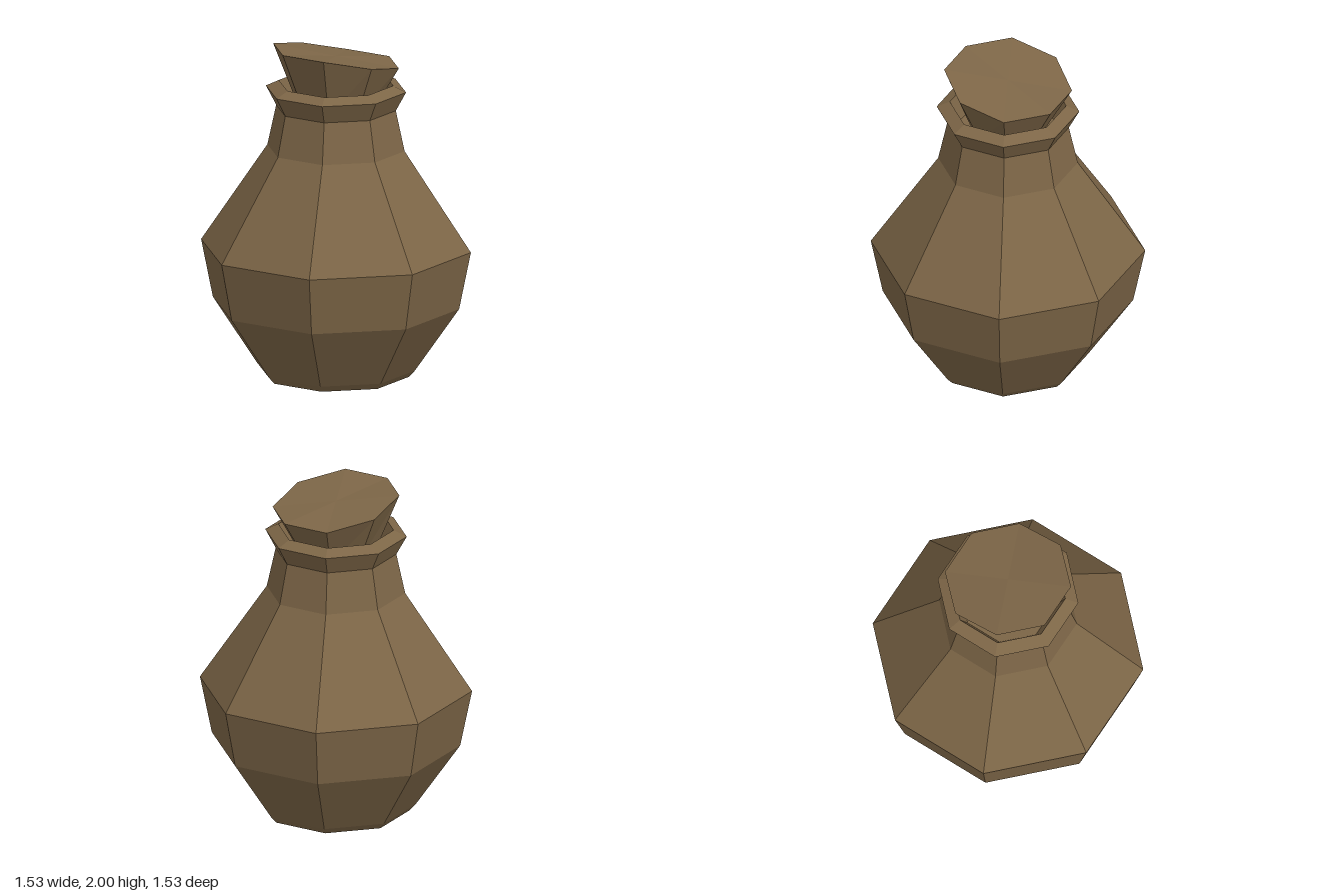
import * as THREE from 'three';

const SIDES = 8;
const TWIST = THREE.MathUtils.degToRad(25); // turns the octagon so its corners sit slightly askew

export function createModel() {
  const model = new THREE.Group();
  model.name = 'stopperedJar';
  const brown = new THREE.MeshStandardMaterial({ color: 0x7d6647, flatShading: true });
  brown.name = 'earthy brown';

  // Jar: closed base, belly, neck, flared lip, then down into the mouth
  const profile = [
    [0, 0], [0.44, 0], [0.476, 0.04], [0.743, 0.43], [0.814, 0.78],
    [0.414, 1.38], [0.361, 1.625], [0.423, 1.74], [0.345, 1.777],
    [0.29, 1.64], [0, 1.62],
  ].map(([r, y]) => new THREE.Vector2(r, y));
  const jar = new THREE.Mesh(new THREE.LatheGeometry(profile, SIDES, TWIST), brown);
  jar.name = 'jarBody';
  model.add(jar);

  // Stopper: tapered plug whose top slopes down towards the back
  const bottom = 1.63, top = 1.9425;
  const plug = new THREE.CylinderGeometry(0.379, 0.23, top - bottom, SIDES, 1, false, TWIST);
  plug.translate(0, (top + bottom) / 2, 0);
  const pos = plug.attributes.position;
  const highSide = TWIST - Math.PI / 4;
  for (let i = 0; i < pos.count; i++) {
    if (pos.getY(i) < top - 0.01) continue;
    // three corners raised, two level, three lowered
    const along = pos.getX(i) * Math.sin(highSide) + pos.getZ(i) * Math.cos(highSide);
    pos.setY(i, top + THREE.MathUtils.clamp(along, -0.2, 0.2) / 0.2 * 0.0575);
  }
  plug.computeVertexNormals();
  const stopper = new THREE.Mesh(plug, brown);
  stopper.name = 'stopper';
  model.add(stopper);

  return model;
}
